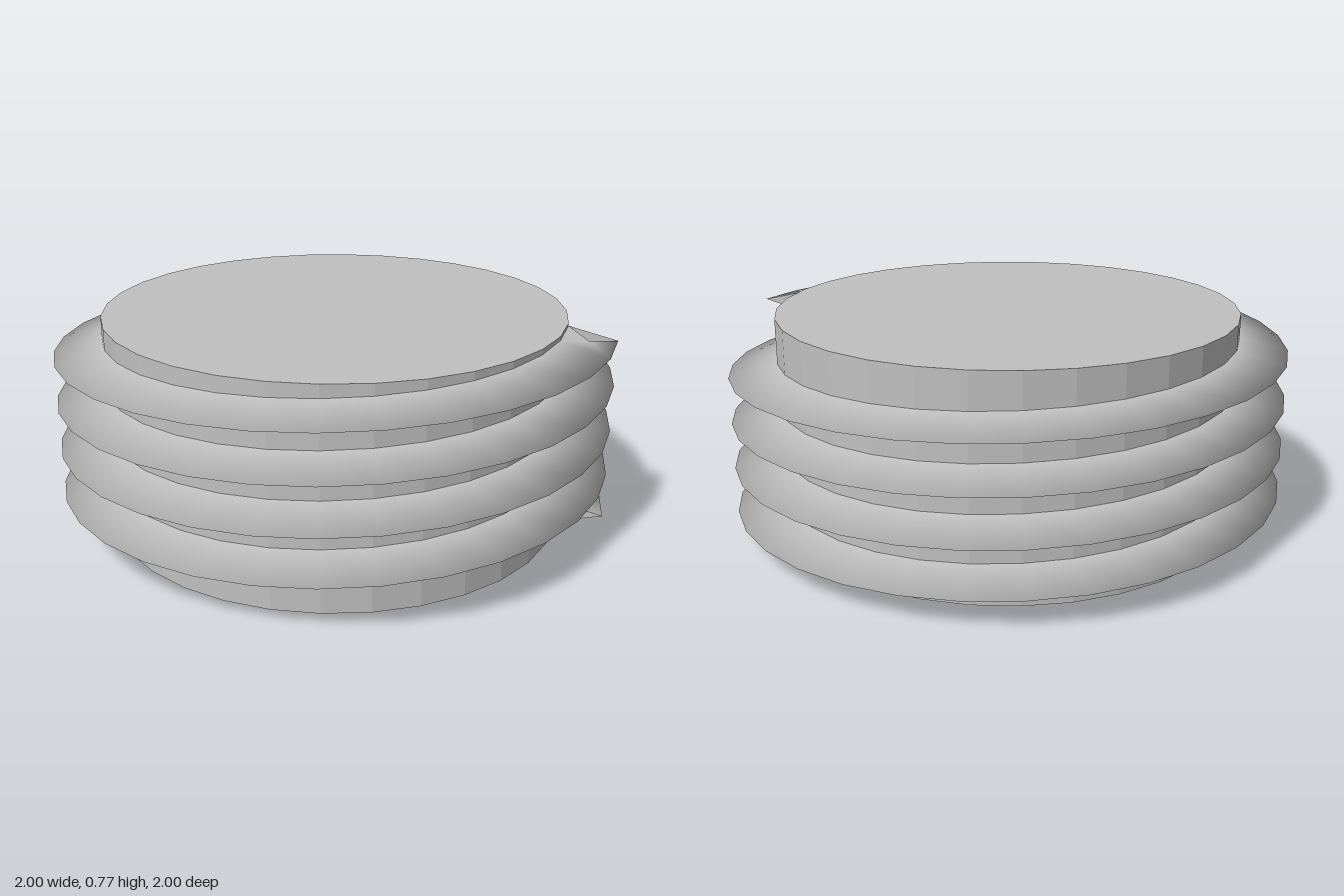
import * as THREE from 'three';

const SIDES = 32;      // segments per turn
const TURNS = 4;
const CORE_R = 0.83;
const CREST_R = 1;
const HEIGHT = 0.77;
const START_Y = 0.055;
const END_Y = 0.72;
const HALF = 0.041;    // half the height of the thread's root

// Root top, crest and root bottom of the thread at one step of the helix
function ring(i) {
  const t = i / (SIDES * TURNS);
  const a = (i / SIDES) * Math.PI * 2;
  const y = START_Y + (END_Y - START_Y) * t;
  return [[CORE_R, HALF], [CREST_R, 0], [CORE_R, -HALF]].map(
    ([r, dy]) => [r * Math.cos(a), y + dy, -r * Math.sin(a)]);
}

function geometryFrom(points, index) {
  const g = new THREE.BufferGeometry();
  g.setAttribute('position', new THREE.Float32BufferAttribute(points.flat(), 3));
  g.setIndex(index);
  g.computeVertexNormals();
  return g;
}

// V-shaped ridge winding up the core, with a small notch at each end
function threadGeometry() {
  const points = [];
  const index = [];
  const n = SIDES * TURNS;
  for (let i = 0; i <= n; i++) points.push(...ring(i));
  const middle = (ids) => {
    const p = [0, 1, 2].map((k) => ids.reduce((s, j) => s + points[j][k], 0) / 4);
    return points.push(p) - 1;
  };
  for (let i = 0; i < n; i++) {
    for (let k = 0; k < 2; k++) {
      const a = 3 * i + k;
      const b = a + 3;
      const quad = [a, a + 1, b + 1, b];
      const notchEdge = k === 0 && i === n - 1 ? 2 : k === 1 && i === 0 ? 0 : -1;
      if (notchEdge < 0) {
        index.push(a, a + 1, b + 1, a, b + 1, b);
        continue;
      }
      const m = middle(quad);
      for (let e = 0; e < 4; e++) {
        if (e !== notchEdge) index.push(quad[e], quad[(e + 1) % 4], m);
      }
    }
  }
  return geometryFrom(points, index);
}

export function createModel() {
  const model = new THREE.Group();
  model.name = 'threadedPlug';

  const metal = new THREE.MeshStandardMaterial({ color: 0xc0c0c0, side: THREE.DoubleSide });
  metal.name = 'plainGrey';

  const add = (name, geometry) => {
    const mesh = new THREE.Mesh(geometry, metal);
    mesh.name = name;
    model.add(mesh);
    return mesh;
  };

  // Solid core with flat facets
  const core = new THREE.CylinderGeometry(CORE_R, CORE_R, HEIGHT, SIDES).toNonIndexed();
  core.computeVertexNormals();
  add('core', core).position.y = HEIGHT / 2;

  // Helical thread and its flat ends
  add('thread', threadGeometry());
  add('threadStart', geometryFrom(ring(0), [2, 1, 0]));
  add('threadEnd', geometryFrom(ring(SIDES * TURNS), [0, 1, 2]));

  return model;
}
